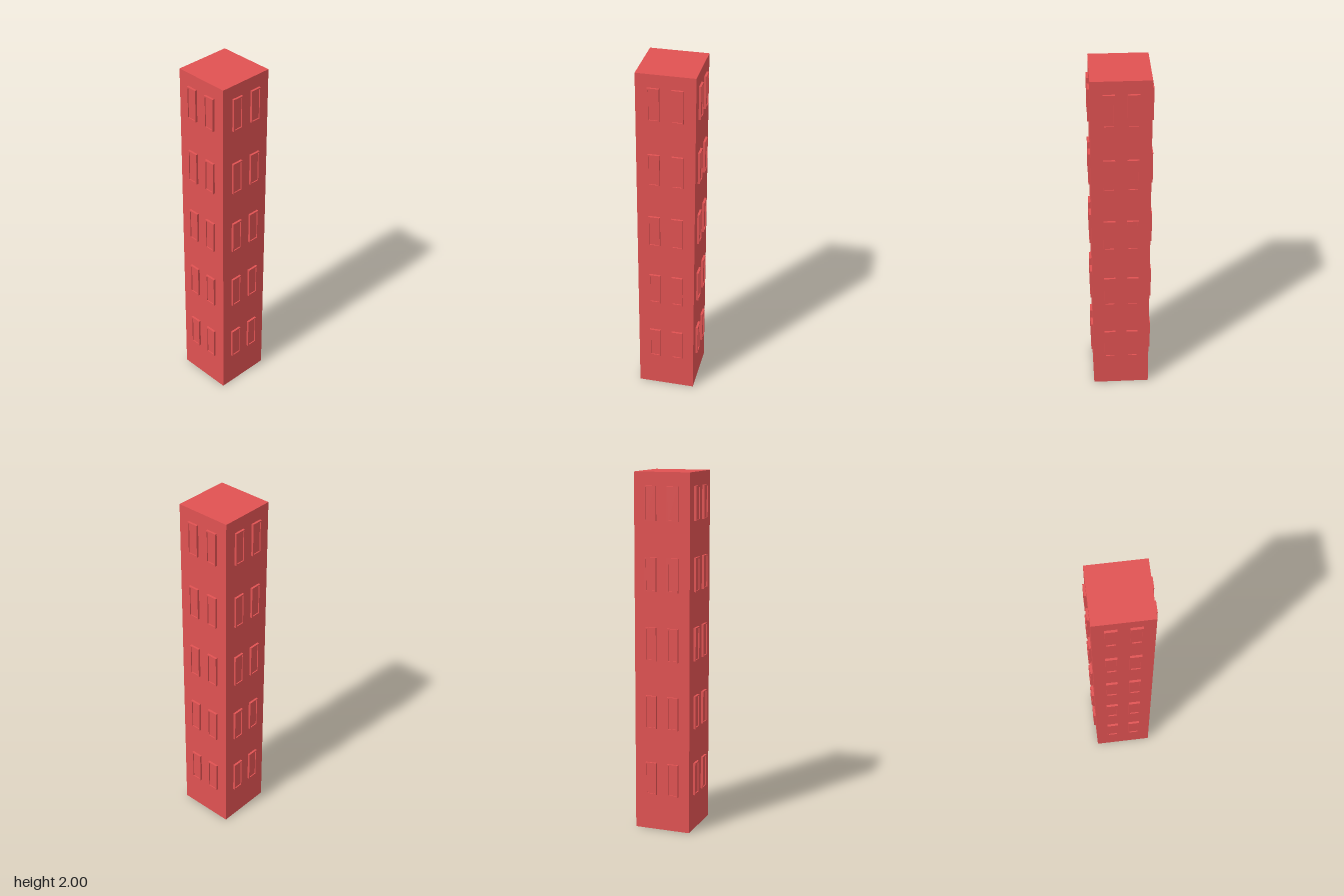
import * as THREE from 'three';

const HALF = 0.16;      // half width of the tower
const OUT = 0.0125;     // how far the frames stand proud
const W = 0.064, H = 0.186, BORDER = 0.007;

function rect(Type, w, h) {
  const p = new Type();
  p.moveTo(-w / 2, -h / 2);
  p.lineTo(w / 2, -h / 2);
  p.lineTo(w / 2, h / 2);
  p.lineTo(-w / 2, h / 2);
  p.closePath();
  return p;
}

export function createModel() {
  const group = new THREE.Group();
  const mat = new THREE.MeshStandardMaterial({ color: 0xe05252, flatShading: true });

  // Main square tower
  const tower = new THREE.Mesh(new THREE.BoxGeometry(HALF * 2, 2, HALF * 2), mat);
  tower.name = 'tower';
  tower.position.y = 1;
  group.add(tower);

  // Slim raised frame and the pane set slightly back inside it
  const outline = rect(THREE.Shape, W, H);
  outline.holes.push(rect(THREE.Path, W - 2 * BORDER, H - 2 * BORDER));
  const frameGeo = new THREE.ExtrudeGeometry(outline, { depth: OUT, bevelEnabled: false });
  const paneGeo = new THREE.BoxGeometry(W - 2 * BORDER, H - 2 * BORDER, OUT / 2);
  paneGeo.translate(0, 0, OUT / 4);

  // Four walls, five floors, two windows per floor
  for (let side = 0; side < 4; side++) {
    const wall = new THREE.Group();
    wall.name = ['frontWindows', 'leftWindows', 'backWindows', 'rightWindows'][side];
    wall.rotation.y = side * Math.PI / 2;
    for (let floor = 0; floor < 5; floor++) {
      for (const s of [-1, 1]) {
        const win = new THREE.Group();
        win.name = 'window';
        const frame = new THREE.Mesh(frameGeo, mat);
        frame.name = 'windowFrame';
        const pane = new THREE.Mesh(paneGeo, mat);
        pane.name = 'windowPane';
        win.add(frame, pane);
        win.position.set(s * 0.064, 0.297 + floor * 0.384, HALF);
        wall.add(win);
      }
    }
    group.add(wall);
  }
  return group;
}
